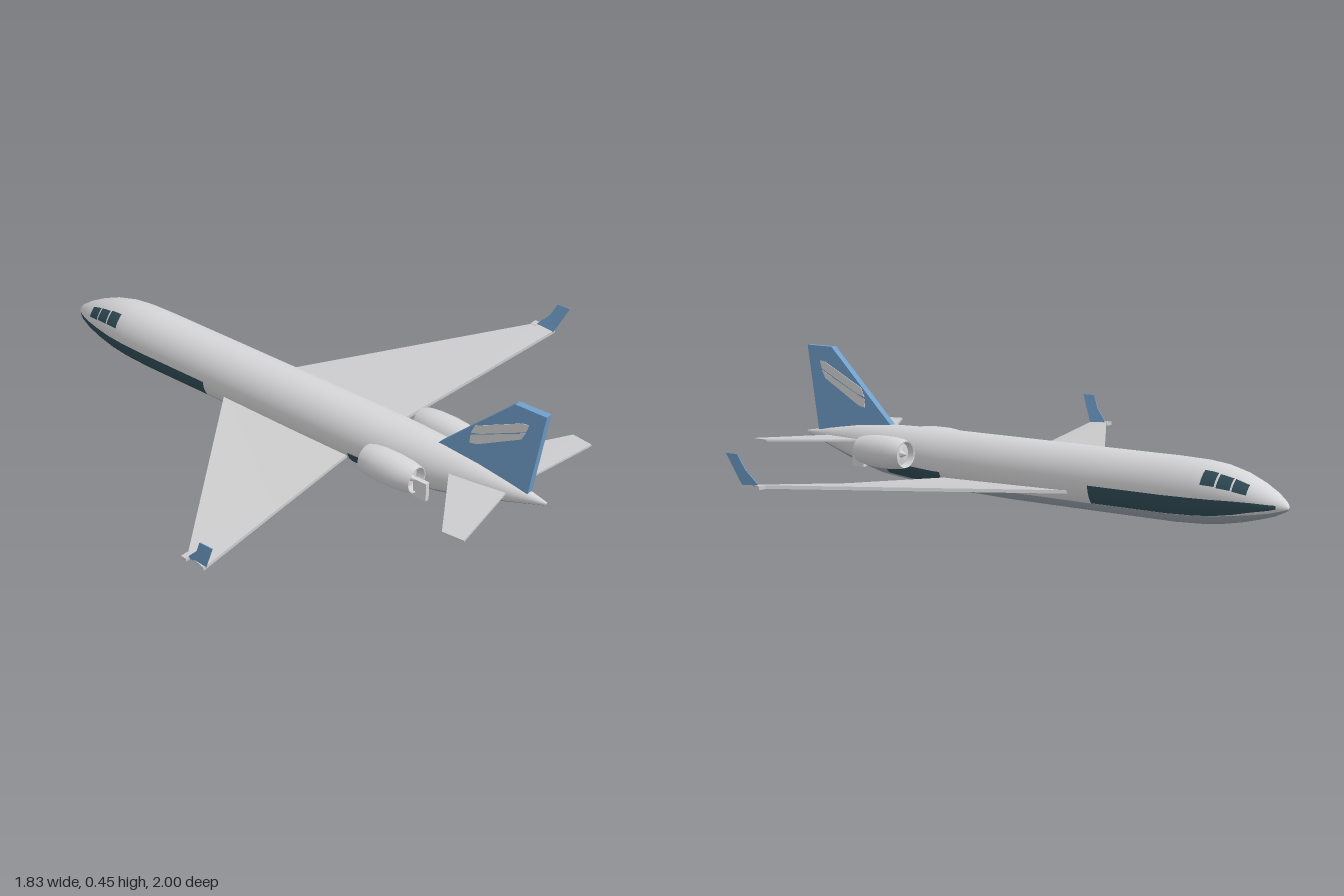
import * as THREE from 'three';
import { toCreasedNormals } from 'three/addons/utils/BufferGeometryUtils.js';

const paint = (name, color) => {
  const m = new THREE.MeshStandardMaterial({ color });
  m.name = name;
  return m;
};

// Fuselage stations: z, top y, bottom y, half width
const STATIONS = [
  [-1, 0.09, 0.082, 0.004], [-0.985, 0.108, 0.073, 0.02], [-0.95, 0.132, 0.057, 0.043],
  [-0.9, 0.158, 0.042, 0.065], [-0.84, 0.182, 0.027, 0.081], [-0.77, 0.199, 0.014, 0.094],
  [-0.7, 0.206, 0.006, 0.1], [-0.6, 0.208, 0.001, 0.102], [-0.3, 0.207, 0, 0.102],
  [0.05, 0.206, 0, 0.102], [0.33, 0.205, 0.006, 0.101], [0.48, 0.203, 0.018, 0.095],
  [0.62, 0.199, 0.031, 0.083], [0.75, 0.187, 0.061, 0.061], [0.88, 0.167, 0.1, 0.034],
  [1, 0.146, 0.136, 0.004],
];

function section(z) {
  let i = 1;
  while (i < STATIONS.length - 1 && z > STATIONS[i][0]) i++;
  const a = STATIONS[i - 1], b = STATIONS[i];
  const t = (z - a[0]) / (b[0] - a[0]);
  return a.map((v, k) => THREE.MathUtils.lerp(v, b[k], t));
}

// Patch of fuselage skin; angles in degrees from the top, growing toward +x
function skin(zs, angleStart, angleEnd, around, lift = 0) {
  const g = new THREE.PlaneGeometry(1, 1, around, zs.length - 1);
  const p = g.attributes.position;
  for (let i = 0; i < p.count; i++) {
    const row = Math.floor(i / (around + 1)), t = (i % (around + 1)) / around;
    const [z, top, bottom, half] = section(zs[row]);
    const f = row / (zs.length - 1);
    const a = THREE.MathUtils.degToRad(THREE.MathUtils.lerp(angleStart(f), angleEnd(f), t));
    p.setXYZ(i, (half + lift) * Math.sin(a),
      (top + bottom) / 2 + ((top - bottom) / 2 + lift) * Math.cos(a), z);
  }
  g.computeVertexNormals();
  return g;
}

// Stations between two z values, with the ends included
const span = (z0, z1) => [z0, ...STATIONS.map(s => s[0]).filter(z => z > z0 + 1e-4 && z < z1 - 1e-4), z1];

// Flat-sided slab: polygon (fanned from its first corner) pushed along an offset
function slab(points, offset) {
  let pts = points.map(p => new THREE.Vector3(...p));
  const off = new THREE.Vector3(...offset);
  const normal = new THREE.Vector3();
  pts.forEach((p, i) => normal.add(new THREE.Vector3().crossVectors(p, pts[(i + 1) % pts.length])));
  if (normal.dot(off) < 0) pts = pts.reverse();
  const start = pts.findIndex(p => p.equals(new THREE.Vector3(...points[0])));
  pts = [...pts.slice(start), ...pts.slice(0, start)];
  const far = pts.map(p => p.clone().add(off));
  const tris = [];
  for (let i = 1; i < pts.length - 1; i++) {
    tris.push(far[0], far[i], far[i + 1], pts[0], pts[i + 1], pts[i]);
  }
  pts.forEach((p, i) => {
    const j = (i + 1) % pts.length;
    tris.push(p, pts[j], far[j], p, far[j], far[i]);
  });
  const g = new THREE.BufferGeometry().setFromPoints(tris);
  g.computeVertexNormals();
  return g;
}

export function createModel() {
  const model = new THREE.Group();
  model.name = 'jet';
  const white = paint('body white', 0xd6d6d8);
  const wingGrey = paint('wing grey', 0xcbcbcd);
  const belly = paint('belly slate', 0x9aa4ad);
  const blue = paint('tail blue', 0x70a0cb);
  const dark = paint('dark teal', 0x304c57);

  const add = (name, geometry, material, parent = model) => {
    const m = new THREE.Mesh(geometry, material);
    m.name = name;
    parent.add(m);
    return m;
  };

  // Fuselage, in an upper shell and a belly
  const all = span(-1, 1);
  add('fuselage', skin(all, () => -130, () => 130, 32), white);
  add('belly', skin(all, () => 130, () => 230, 12), belly);

  // Fin with a pair of pale stripes on each face
  const fin = [[0.59, 0.195], [0.87, 0.452], [0.985, 0.452], [0.935, 0.155]];
  add('fin', slab(fin.map(([z, y]) => [-0.012, y, z]), [0.024, 0, 0]), blue);
  const stripes = [
    [[0.925, 0.4], [0.9, 0.397], [0.73, 0.318], [0.715, 0.287], [0.75, 0.297], [0.915, 0.372]],
    [[0.915, 0.367], [0.75, 0.292], [0.715, 0.28], [0.712, 0.25], [0.74, 0.255], [0.9, 0.34]],
  ];

  for (const s of [1, -1]) {
    const side = s > 0 ? 'left' : 'right';
    const half = new THREE.Group();
    half.name = side + 'Side';
    model.add(half);
    const mirror = pts => pts.map(([x, y, z]) => [x * s, y, z]);
    const patch = (name, zs, a0, a1, lift) => add(name,
      s > 0 ? skin(zs, a0, a1, 6, lift) : skin(zs, f => -a1(f), f => -a0(f), 6, lift), dark, half);

    // Cockpit panes
    [[-0.888, -0.843, 38, 70], [-0.837, -0.792, 38, 69], [-0.785, -0.737, 37, 68]].forEach(
      ([z0, z1, a0, a1]) => patch('cockpitPane', span(z0, z1), () => a0, () => a1, 0.003));

    // Dark lower bands ahead of and behind the wing
    patch('forwardBand', span(-0.97, -0.32), f => 82 + 11 * Math.min(1, f * 2),
      f => 105 + 23 * Math.min(1, f * 2), 0.002);
    patch('aftBand', span(0.3, 0.56), () => 106, () => 140, 0.002);

    // Swept wing
    add('wing', slab(mirror([
      [0.5, 0.077, 0.345], [0.9, 0.118, 0.412], [0.885, 0.123, 0.335],
      [0.05, 0.058, -0.266], [0.05, 0.045, 0.283],
    ]), [0, 0.011, 0]), wingGrey, half);
    const lug = add('wingTipLug', new THREE.BoxGeometry(0.028, 0.012, 0.02), wingGrey, half);
    lug.position.set(s * 0.891, 0.128, 0.336);

    // Upswept winglet
    add('winglet', slab(mirror([
      [0.888, 0.125, 0.412], [0.886, 0.125, 0.335], [0.9, 0.18, 0.388],
      [0.91, 0.226, 0.41], [0.91, 0.226, 0.46],
    ]), [s * 0.003, 0, 0]), blue, half);

    // Tailplane
    add('tailplane', slab(mirror([
      [0.01, 0.135, 0.865], [0.01, 0.137, 0.64], [0.345, 0.156, 0.86], [0.337, 0.154, 0.935],
    ]), [0, 0.007, 0]), wingGrey, half);

    // Engine nacelle with recessed intake and exhaust
    const profile = [
      [0, 0.405], [0.012, 0.43], [0.039, 0.435], [0.041, 0.412], [0.045, 0.41], [0.051, 0.43],
      [0.055, 0.47], [0.055, 0.53], [0.051, 0.575], [0.044, 0.61], [0.041, 0.61],
      [0.038, 0.58], [0.014, 0.58], [0, 0.62],
    ].map(([r, z]) => new THREE.Vector2(r, z));
    const nacelle = add('nacelle',
      toCreasedNormals(new THREE.LatheGeometry(profile, 20).rotateX(Math.PI / 2), 0.6), white, half);
    nacelle.position.set(s * 0.14, 0.13, 0);
    const pylon = add('enginePylon', new THREE.BoxGeometry(0.05, 0.02, 0.14), white, half);
    pylon.position.set(s * 0.085, 0.13, 0.51);
    const vane = add('exhaustVane', new THREE.BoxGeometry(0.016, 0.064, 0.05), white, half);
    vane.position.set(s * 0.137, 0.102, 0.625);

    // Fin stripes
    stripes.forEach(st => add('finStripe',
      slab(st.map(([z, y]) => [s * 0.011, y, z]), [s * 0.003, 0, 0]), white, half));
  }
  return model;
}
